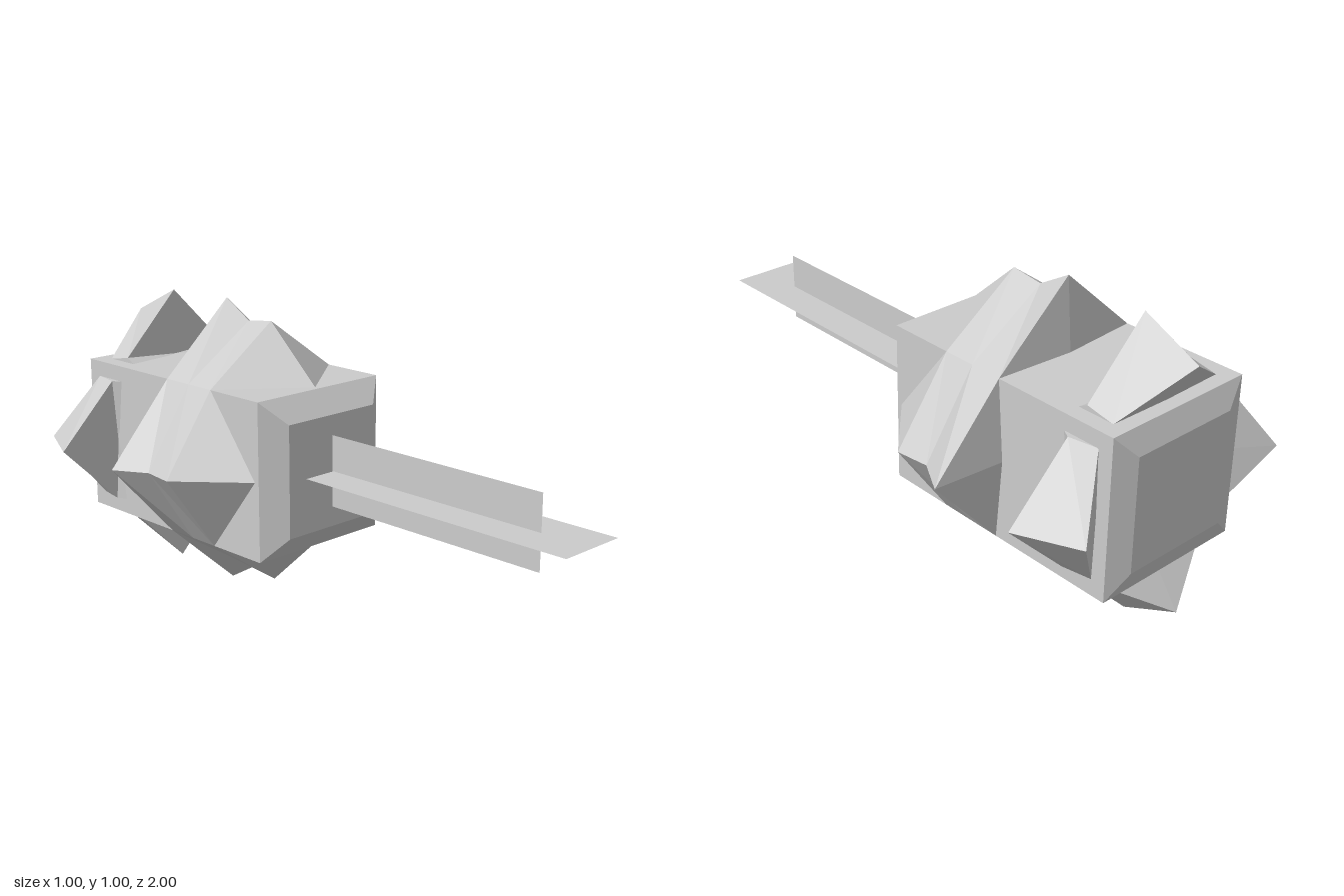
import * as THREE from 'three';

const CENTRE_Y = 0.5;
const grey = new THREE.MeshStandardMaterial({ color: 0xcccccc, flatShading: true });
const thin = new THREE.MeshStandardMaterial({ color: 0xcccccc, flatShading: true, side: THREE.DoubleSide });

// Builds a part from the faces of its +x half, mirrored across x = 0
function mirroredGeometry(faces) {
  const pos = [];
  const addFace = (f) => {
    for (let i = 1; i < f.length - 1; i++) pos.push(...f[0], ...f[i], ...f[i + 1]);
  };
  for (const face of faces) {
    addFace(face);
    addFace(face.map(([x, y, z]) => [-x, y, z]).reverse());
  }
  const geo = new THREE.BufferGeometry();
  geo.setAttribute('position', new THREE.Float32BufferAttribute(pos, 3));
  geo.computeVertexNormals();
  return geo;
}

// Ridged collar segment on one side of the block
function collarGeometry() {
  const base = 0.263;
  const sections = [[0.45, -0.30], [0.436, -0.41], [0.5, -0.52]];
  const ridge = sections.map(([h, z]) => [0, h, z]);
  const edge = sections.map(([, z]) => [base, base, z]);
  const faces = [
    [[0, base, -0.093], edge[0], ridge[0]],
    [ridge[2], edge[2], [0, base, -0.54]],
  ];
  for (let i = 0; i < 2; i++) faces.push([ridge[i], edge[i], edge[i + 1], ridge[i + 1]]);
  return mirroredGeometry(faces);
}

// Swept roof-shaped fin near the back
function finGeometry() {
  const ridgeFront = [0, 0.492, -0.805], ridgeBack = [0, 0.4, -1];
  const shoulder = [0.21, 0.28, -0.805], toe = [0.21, 0.255, -0.76];
  const heel = [0.21, 0.262, -0.9];
  const innerFront = [0, 0.265, -0.805], innerBack = [0, 0.255, -0.9];
  return mirroredGeometry([
    [ridgeFront, shoulder, heel, ridgeBack],
    [ridgeFront, innerFront, shoulder],
    [shoulder, innerFront, toe],
    [toe, heel, shoulder],
    [ridgeBack, heel, innerBack],
  ]);
}

export function createModel() {
  const model = new THREE.Group();
  const add = (name, geo, material = grey) => {
    const mesh = new THREE.Mesh(geo, material);
    mesh.name = name;
    mesh.position.y = CENTRE_Y;
    model.add(mesh);
    return mesh;
  };

  // Square block with bevelled ends
  const profile = [[0, -0.977], [0.187, -0.977], [0.263, -0.95], [0.263, -0.075], [0.187, -0.015], [0, -0.015]]
    .map(([half, z]) => new THREE.Vector2(half * Math.SQRT2, z));
  const block = new THREE.LatheGeometry(profile, 4).rotateY(Math.PI / 4).rotateX(Math.PI / 2);
  add('headBlock', block);

  // Collar and fins repeat on all four sides
  const collar = collarGeometry();
  const fin = finGeometry();
  ['top', 'left', 'bottom', 'right'].forEach((side, i) => {
    add(`${side}Collar`, collar).rotation.z = -i * Math.PI / 2;
    add(`${side}Fin`, fin).rotation.z = -i * Math.PI / 2;
  });

  // Shaft of two crossed thin plates
  const flat = new THREE.PlaneGeometry(0.24, 1.01).rotateX(-Math.PI / 2).translate(0, 0, 0.495);
  const upright = new THREE.PlaneGeometry(0.84, 0.24).rotateY(Math.PI / 2).translate(0, 0, 0.405);
  add('flatShaftPlate', flat, thin);
  add('uprightShaftPlate', upright, thin);

  return model;
}
